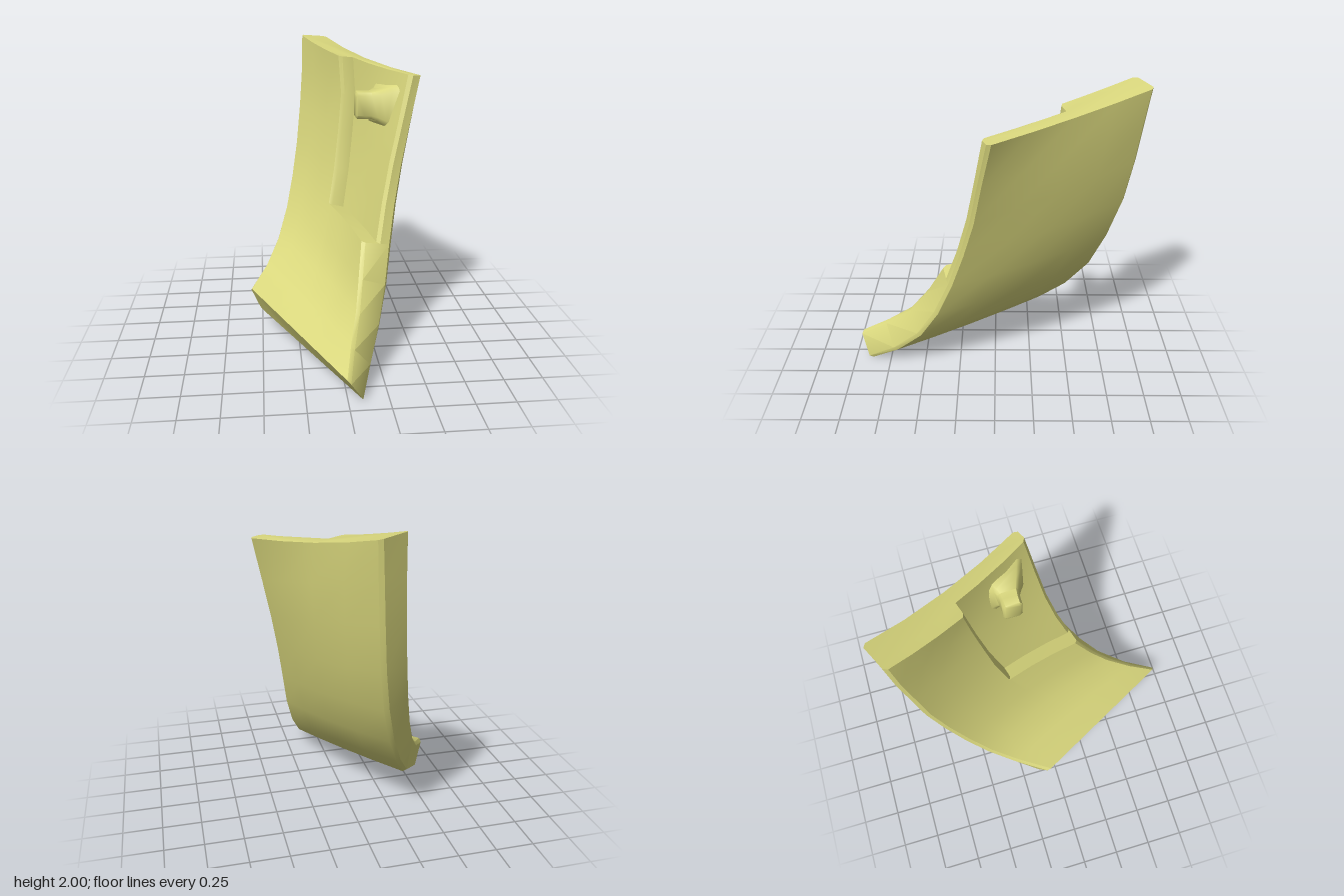
import * as THREE from 'three';
import { toCreasedNormals } from 'three/addons/utils/BufferGeometryUtils.js';

// Edge curves of the panel, bottom to top: [x, y, z]
const innerLeft = [[-0.58, 0.33, -0.08], [-0.47, 0.42, -0.29], [-0.38, 0.56, -0.46], [-0.31, 0.76, -0.59], [-0.26, 0.98, -0.69],
  [-0.22, 1.22, -0.77], [-0.19, 1.5, -0.82], [-0.17, 1.75, -0.86], [-0.16, 2, -0.88]];
const outerLeft = [[-0.51, 0.14, -0.14], [-0.37, 0.24, -0.35], [-0.26, 0.43, -0.53], [-0.16, 0.66, -0.68], [-0.09, 0.92, -0.78],
  [-0.04, 1.2, -0.86], [-0.01, 1.5, -0.91], [0.01, 1.75, -0.94], [0.03, 1.98, -0.97]];
const innerRight = [[0, 0.17, 0.97], [0.04, 0.29, 0.78], [0.09, 0.43, 0.6], [0.12, 0.6, 0.47], [0.15, 0.8, 0.35],
  [0.2, 1.03, 0.27], [0.26, 1.28, 0.21], [0.33, 1.54, 0.16], [0.4, 1.83, 0.12]];
const outerRight = [[0.1, 0, 0.9], [0.17, 0.12, 0.71], [0.25, 0.3, 0.53], [0.31, 0.52, 0.4], [0.35, 0.76, 0.3],
  [0.39, 1, 0.22], [0.44, 1.25, 0.15], [0.5, 1.52, 0.1], [0.57, 1.81, 0.04]];
// Sideways bulge and sag of each row at mid-width
const bow = [0, 0.02, 0.035, 0.045, 0.05, 0.05, 0.04, 0.02, -0.035];
const sag = [0, 0, 0, 0, 0, 0, 0, 0.01, 0.025];

// Point on a row: s runs left to right, w from inner to outer face
function panelPoint(row, s, w) {
  const v = a => new THREE.Vector3(...a[row]);
  const p = v(innerLeft).lerp(v(innerRight), s).lerp(v(outerLeft).lerp(v(outerRight), s), w);
  const arch = 4 * s * (1 - s);
  p.x += bow[row] * arch;
  p.y -= sag[row] * arch;
  return p;
}

// Bevelled cross-section; d is the depth of the recess on the right half
function section(d) {
  const r = d > 0 ? 0.1 : 0;
  return [[0, 0.1], [0.02, 0], [0.16, 0], [0.32, 0], [0.475, 0], [0.49, r], [0.5, d], [0.65, d], [0.82, d],
    [0.98, d], [1, d + 0.1], [1, 0.9], [0.98, 1], [0.75, 1], [0.5, 1], [0.25, 1], [0.02, 1], [0, 0.9]];
}

// Skin between rings of points, with flat caps given by 2D outlines
function loft(rings, startOutline, endOutline, crease) {
  const pos = [];
  const tri = (a, b, c) => {
    const area = b.clone().sub(a).cross(c.clone().sub(a)).length();
    if (area > 1e-7) pos.push(...a, ...b, ...c);
  };
  for (let i = 0; i < rings.length - 1; i++) {
    const lo = rings[i], hi = rings[i + 1], n = lo.length;
    for (let j = 0; j < n; j++) {
      const k = (j + 1) % n;
      tri(lo[j], lo[k], hi[k]);
      tri(lo[j], hi[k], hi[j]);
    }
  }
  const cap = outline => THREE.ShapeUtils.triangulateShape(outline.map(p => new THREE.Vector2(...p)), []);
  const first = rings[0], last = rings[rings.length - 1];
  for (const [a, b, c] of cap(startOutline)) tri(first[c], first[b], first[a]);
  for (const [a, b, c] of cap(endOutline)) tri(last[a], last[b], last[c]);
  const g = new THREE.BufferGeometry();
  g.setAttribute('position', new THREE.Float32BufferAttribute(pos, 3));
  return toCreasedNormals(g, crease);
}

export function createModel() {
  const group = new THREE.Group();
  const material = new THREE.MeshStandardMaterial({ color: 0xd8d67c });
  const add = (name, geometry) => {
    const mesh = new THREE.Mesh(geometry, material);
    mesh.name = name;
    group.add(mesh);
  };

  // Curved panel: full thickness below, recessed above the ledge at row 4
  const full = section(0), cut = section(0.5);
  const ring = (row, outline) => outline.map(([s, w]) => panelPoint(row, s, w));
  const rings = [];
  for (let row = 0; row <= 4; row++) rings.push(ring(row, full));
  for (let row = 4; row <= 8; row++) rings.push(ring(row, cut));
  add('curvedPanel', loft(rings, full, cut, 0.6));

  // Knob in the recess: [x, half height, half depth, lean], flaring onto the panel
  const stations = [[0.15, 0.075, 0.05, 0], [0.16, 0.087, 0.06, 0], [0.21, 0.087, 0.06, 0], [0.25, 0.087, 0.065, 0.1],
    [0.285, 0.1, 0.085, 0.5], [0.315, 0.125, 0.115, 0.9], [0.36, 0.15, 0.14, 1]];
  const c = 0.75;
  const outline = [[1, -c], [1, c], [c, 1], [-c, 1], [-1, c], [-1, -c], [-c, -1], [c, -1]];
  const knobRings = stations.map(([x, h, d, lean]) => outline.map(([u, v]) => {
    const y = v * h, z = -u * d;
    return new THREE.Vector3(x + lean * (0.46 * z + 0.2 * y), 1.605 + y, -0.1 + z);
  }));
  add('knob', loft(knobRings, outline, outline, 0.9));

  return group;
}
